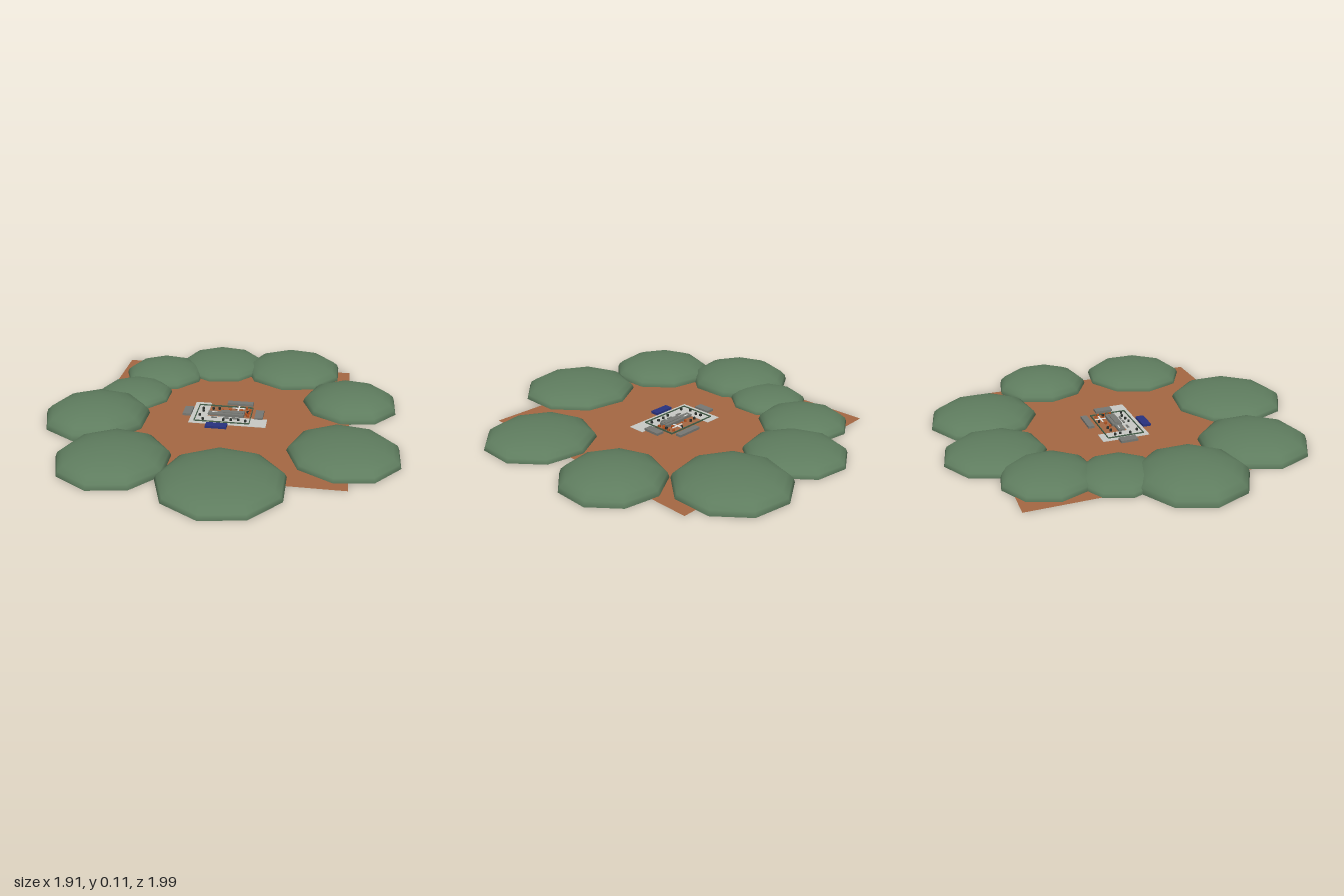
import * as THREE from 'three';

const mat = (name, color, side = THREE.FrontSide) => {
  const m = new THREE.MeshStandardMaterial({ color, side });
  m.name = name;
  return m;
};

export function createModel() {
  const root = new THREE.Group();
  root.name = 'desertBase';
  const clay = mat('clay', 0xa56843, THREE.DoubleSide);
  const green = mat('hillGreen', 0x5f7d5f, THREE.DoubleSide);
  const paving = mat('paving', 0xc9cac6);
  const grey = mat('grey', 0x777873);
  const navy = mat('navy', 0x28327f);
  const dark = mat('dark', 0x2b302c);
  const fenceGreen = mat('fenceGreen', 0x46604a);
  const orange = mat('orange', 0xb8521f);
  const white = mat('white', 0xf0f0ee);

  const add = (parent, name, geo, material, x, y, z) => {
    const m = new THREE.Mesh(geo, material);
    m.name = name;
    m.position.set(x, y, z);
    parent.add(m);
    return m;
  };
  // Box given by its plan limits, base height and height
  const slab = (parent, name, material, x0, x1, z0, z1, y, h) =>
    add(parent, name, new THREE.BoxGeometry(x1 - x0, h, z1 - z0), material,
      (x0 + x1) / 2, y + h / 2, (z0 + z1) / 2);

  // Ground sheet
  const ground = add(root, 'ground', new THREE.PlaneGeometry(1.39, 1.39), clay, 0.005, 0.001, -0.045);
  ground.rotation.x = -Math.PI / 2;

  // Ring of flattened nine-sided domes: x, z, radius, height
  const dome = new THREE.SphereGeometry(1, 9, 6, 0, Math.PI * 2, 0, Math.PI / 2);
  const hills = new THREE.Group();
  hills.name = 'hills';
  root.add(hills);
  [
    [-0.094, -0.739, 0.265, 0.076], [0.354, -0.712, 0.293, 0.092],
    [0.704, -0.284, 0.265, 0.098], [0.679, 0.305, 0.291, 0.082],
    [0.112, 0.677, 0.32, 0.085], [-0.447, 0.546, 0.292, 0.096],
    [-0.664, 0.093, 0.29, 0.108], [-0.53, -0.23, 0.213, 0.07],
    [-0.424, -0.549, 0.24, 0.08],
  ].forEach(([x, z, r, h]) => add(hills, 'hill', dome, green, x, 0, z).scale.set(r, h, r));

  // L-shaped paving
  const yard = new THREE.Group();
  yard.name = 'yard';
  root.add(yard);
  slab(yard, 'pavingSide', paving, -0.16, -0.07, -0.18, 0.08, 0.001, 0.002);
  slab(yard, 'pavingFront', paving, -0.07, 0.26, -0.015, 0.08, 0.001, 0.002);

  // Outer sheds
  slab(yard, 'shedBack', grey, 0.02, 0.165, -0.203, -0.168, 0, 0.014);
  slab(yard, 'shedLeft', grey, -0.207, -0.16, -0.097, -0.003, 0, 0.014);
  slab(yard, 'shedRight', grey, 0.19, 0.235, -0.103, -0.007, 0.001, 0.013);
  slab(yard, 'shedFront', navy, -0.06, 0.055, 0.082, 0.128, 0.001, 0.013);

  // Low fence round the court
  const [x0, x1, z0, z1, t] = [-0.135, 0.17, -0.145, 0.058, 0.004];
  slab(yard, 'fenceBack', fenceGreen, x0, x1, z0, z0 + t, 0.001, 0.008);
  slab(yard, 'fenceFront', fenceGreen, x0, x1, z1 - t, z1, 0.001, 0.008);
  slab(yard, 'fenceSide', fenceGreen, x0, x0 + t, z0, z1, 0.001, 0.008);
  slab(yard, 'fenceSide', fenceGreen, x1 - t, x1, z0, z1, 0.001, 0.008);

  // Central hall with a narrower wing
  slab(yard, 'hall', grey, 0.0, 0.13, -0.072, -0.018, 0.001, 0.016);
  slab(yard, 'hallRidge', grey, 0.01, 0.12, -0.055, -0.035, 0.017, 0.004);
  slab(yard, 'wing', grey, -0.07, 0.0, -0.062, -0.025, 0.001, 0.012);
  slab(yard, 'wingStripe', white, -0.05, -0.02, -0.052, -0.046, 0.013, 0.001);

  // White cross marker
  slab(yard, 'crossBar', white, 0.055, 0.13, -0.114, -0.106, 0.012, 0.003);
  slab(yard, 'crossPost', white, 0.088, 0.096, -0.14, -0.08, 0.012, 0.003);

  // Small props scattered round the court
  const peg = new THREE.CylinderGeometry(0.007, 0.007, 0.012, 8);
  const scatter = (name, material, spots) =>
    spots.forEach(([x, z]) => add(yard, name, peg, material, x, 0.008, z));
  scatter('darkBarrel', dark, [
    [-0.105, -0.095], [-0.1, -0.065], [-0.112, -0.012], [-0.088, 0.035], [0.025, 0.03],
    [0.065, 0.025], [0.105, 0.02], [0.145, 0.03], [-0.05, -0.1], [-0.015, -0.105],
    [0.075, -0.125], [0.145, -0.08],
  ]);
  scatter('orangeBarrel', orange, [
    [0.135, -0.125], [0.155, -0.105], [0.14, -0.055], [0.152, -0.035],
    [0.005, -0.085], [0.045, -0.095], [0.11, -0.09], [0.155, -0.07],
  ]);
  for (const x of [-0.03, 0.035, 0.085]) slab(yard, 'bench', grey, x - 0.016, x + 0.016, -0.002, 0.008, 0.002, 0.006);

  return root;
}
